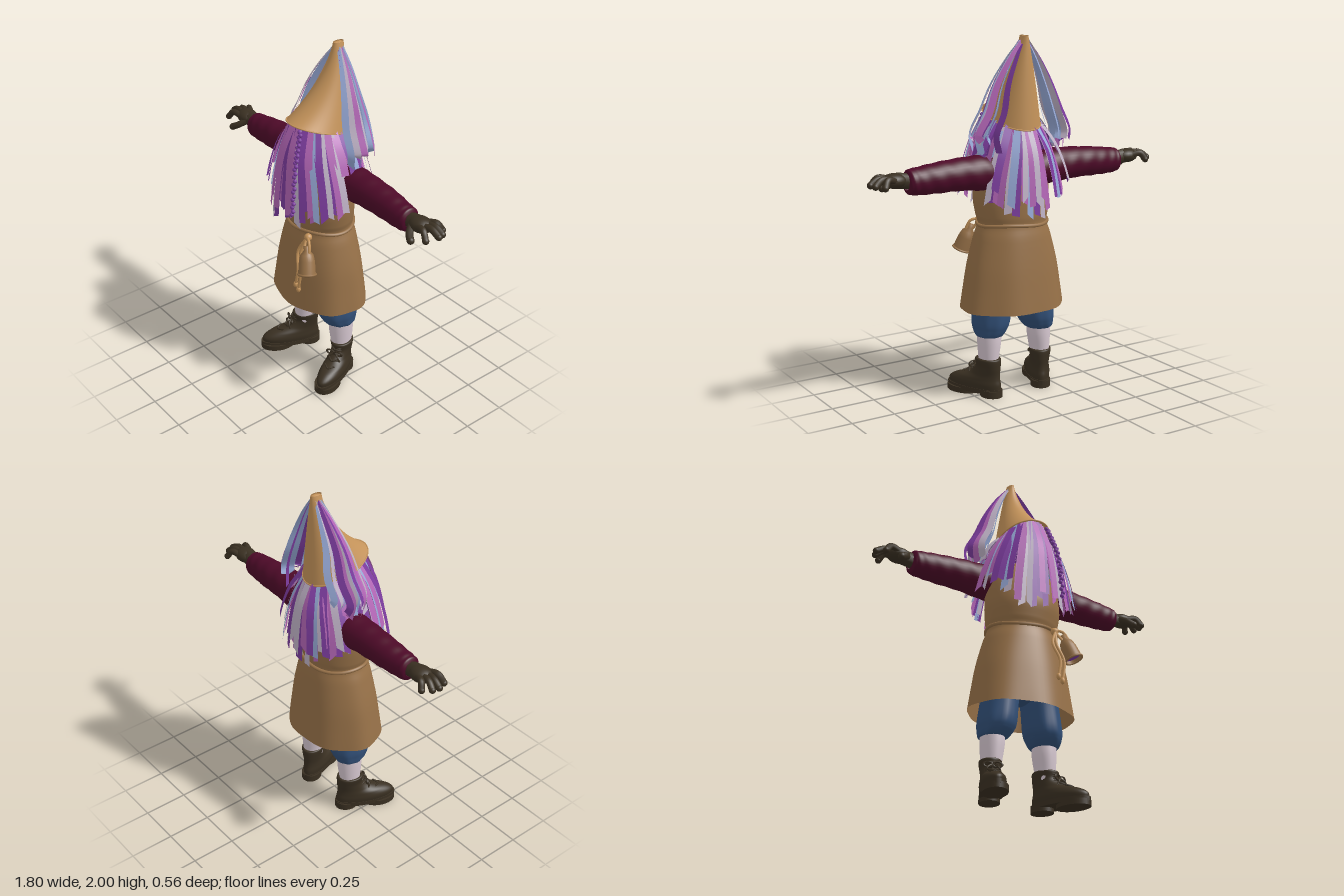
import * as THREE from 'three';
import { mergeGeometries } from 'three/addons/utils/BufferGeometryUtils.js';
import { ParametricGeometry } from 'three/addons/geometries/ParametricGeometry.js';

const mat = (name, color) => {
  const m = new THREE.MeshStandardMaterial({ color, side: THREE.DoubleSide });
  m.name = name;
  return m;
};
const V = (x, y, z) => new THREE.Vector3(x, y, z);

export function createModel() {
  const model = new THREE.Group();
  const M = {
    hat: mat('straw tan', 0xc4935a), tunic: mat('tunic brown', 0x977148),
    sleeve: mat('maroon', 0x4d0a28), dark: mat('dark leather', 0x3a3022),
    blue: mat('denim blue', 0x325078), sock: mat('pale sock', 0xd8c9d2),
    purple: mat('purple', 0x7c3c9e), orchid: mat('orchid', 0xb366b6),
    lilac: mat('grey lilac', 0xbfb2c6), sky: mat('light blue', 0x97a9d6),
  };
  let seed = 7;
  const rnd = () => (seed = (seed * 16807) % 2147483647) / 2147483647;

  const add = (parent, name, geo, material, pos = [0, 0, 0], scale = [1, 1, 1]) => {
    const m = new THREE.Mesh(geo, material);
    m.name = name;
    m.position.set(...pos);
    m.scale.set(...scale);
    parent.add(m);
    return m;
  };
  const tube = (pts, r, closed = false, n = 20) =>
    new THREE.TubeGeometry(new THREE.CatmullRomCurve3(pts, closed), n, r, 8, closed);
  const ball = (r) => new THREE.SphereGeometry(r, 20, 14);

  // Smooth loft through ellipse rows [y, cx, cz, rx, rz], listed upward
  const catmull = (a, b, c, d, t) =>
    0.5 * (2 * b + (c - a) * t + (2 * a - 5 * b + 4 * c - d) * t * t + (3 * b - a - 3 * c + d) * t * t * t);
  const loft = (rows, ripple = () => 1, slices = 48, stacks = 40) =>
    new ParametricGeometry((u, v, out) => {
      const n = rows.length - 1, f = Math.min(Math.max(v, 0), 1) * n;
      const i = Math.min(Math.floor(f), n - 1);
      const row = (k) => rows[Math.min(Math.max(k, 0), n)];
      const [y, cx, cz, rx, rz] = rows[0].map((_, c) =>
        catmull(row(i - 1)[c], row(i)[c], row(i + 1)[c], row(i + 2)[c], f - i));
      const a = u * Math.PI * 2, k = ripple(a, v);
      out.set(cx + rx * k * Math.sin(a), y, cz + rz * k * Math.cos(a));
    }, slices, stacks);

  // Flat strip along a curve, facing outward, with a slanted cut end
  const ribbon = (pts, width, outward, topScale = 1, n = 12) => {
    const curve = new THREE.CatmullRomCurve3(pts), pos = [], idx = [];
    const slant = (rnd() - 0.5) * 0.04;
    for (let i = 0; i <= n; i++) {
      const t = i / n, p = curve.getPoint(t), tan = curve.getTangent(t);
      const w = width * 0.5 * (topScale + (1 - topScale) * Math.min(1, t * 2));
      const side = tan.clone().cross(outward).normalize().multiplyScalar(w);
      for (const s of [-1, 1]) {
        const q = p.clone().addScaledVector(side, s);
        if (i === n) q.addScaledVector(tan, s * slant);
        pos.push(q.x, q.y, q.z);
      }
      if (i < n) idx.push(2 * i, 2 * i + 2, 2 * i + 1, 2 * i + 1, 2 * i + 2, 2 * i + 3);
    }
    const g = new THREE.BufferGeometry();
    g.setAttribute('position', new THREE.Float32BufferAttribute(pos, 3));
    g.setIndex(idx);
    g.computeVertexNormals();
    return g;
  };

  // Tunic with soft folds toward the hem
  add(model, 'tunic', loft([
    [0.5, 0, 0, 0.306, 0.234], [0.6, 0, 0, 0.291, 0.223], [0.75, 0, 0, 0.266, 0.205],
    [0.9, 0, 0, 0.226, 0.182], [0.975, 0, 0, 0.2, 0.166], [1.03, 0, 0.005, 0.21, 0.175],
    [1.13, 0, 0.012, 0.22, 0.182], [1.28, 0, 0, 0.205, 0.165], [1.37, 0, -0.02, 0.15, 0.125],
    [1.44, 0, -0.02, 0.05, 0.05]],
  (a, v) => 1 + 0.018 * Math.sin(7 * a + 1) * Math.max(0, 1 - v * 2), 72), M.tunic);
  const ellipse = (y, rx, rz) => Array.from({ length: 24 }, (_, i) => {
    const a = i / 24 * Math.PI * 2;
    return V(rx * Math.sin(a), y + 0.006 * Math.sin(3 * a), rz * Math.cos(a));
  });
  add(model, 'belt', tube(ellipse(0.978, 0.203, 0.17), 0.01, true, 72), M.tunic);

  // Knot, cords and pouch on the belt
  add(model, 'beltKnot', ball(0.022), M.hat, [0.11, 0.965, 0.17]);
  for (const [x, y] of [[0.085, 0.67], [0.11, 0.65]]) {
    add(model, 'cord', tube([V(0.11, 0.965, 0.18), V(x - 0.015, 0.87, 0.21), V(x + 0.015, 0.77, 0.235), V(x, y, 0.24)], 0.008), M.hat);
    add(model, 'cordEnd', ball(0.013), M.hat, [x, y, 0.24], [1, 1.5, 1]);
  }
  add(model, 'cordLoop', tube([V(0.11, 0.965, 0.18), V(0.15, 0.96, 0.195), V(0.17, 0.9, 0.215), V(0.135, 0.9, 0.215)], 0.008, true, 30), M.hat);
  const pouch = new THREE.Group();
  pouch.name = 'pouch';
  pouch.position.set(0.165, 0.86, 0.222);
  pouch.rotation.set(-0.25, 0, 0.3);
  model.add(pouch);
  const profile = [[0.05, -0.075], [0.048, -0.06], [0.044, 0], [0.036, 0.035], [0.016, 0.06], [0.02, 0.08], [0.001, 0.085]];
  add(pouch, 'pouchBag', new THREE.LatheGeometry(profile.map((p) => new THREE.Vector2(...p)), 24), M.tunic);
  add(pouch, 'pouchRim', new THREE.TorusGeometry(0.049, 0.006, 8, 28).rotateX(Math.PI / 2), M.tunic, [0, -0.073, 0]);
  add(pouch, 'pouchLining', new THREE.CircleGeometry(0.045, 24).rotateX(Math.PI / 2), M.purple, [0, -0.055, 0]);

  // Arms and legs, mirrored
  for (const s of [1, -1]) {
    const half = new THREE.Group();
    half.name = s > 0 ? 'leftLimbs' : 'rightLimbs';
    half.scale.x = s;
    model.add(half);

    // Sleeve runs along x once turned
    const sleeve = add(half, 'sleeve', loft([
      [0.1, -1.26, -0.05, 0.09, 0.09], [0.22, -1.275, -0.055, 0.096, 0.095], [0.36, -1.28, -0.055, 0.088, 0.088],
      [0.5, -1.275, -0.055, 0.082, 0.08], [0.61, -1.268, -0.05, 0.074, 0.07], [0.665, -1.267, -0.05, 0.066, 0.062],
      [0.68, -1.267, -0.05, 0.04, 0.04]],
    (a, v) => 1 + 0.016 * Math.sin(v * 50 + Math.sin(a) * 3), 32, 90), M.sleeve);
    sleeve.rotation.z = -Math.PI / 2;

    // Gloved hand
    add(half, 'wrist', tube([V(0.64, 1.27, -0.05), V(0.74, 1.283, -0.05)], 0.042), M.dark);
    add(half, 'palm', ball(1), M.dark, [0.75, 1.283, -0.05], [0.07, 0.04, 0.056]);
    const fingers = [[0.85, 1.262, -0.122], [0.888, 1.268, -0.085], [0.9, 1.272, -0.05], [0.87, 1.258, 0.01]];
    fingers.forEach(([x, y, z], i) => {
      const base = V(0.76, 1.288, -0.086 + i * 0.024);
      add(half, 'finger', tube([base, V((x + 0.77) / 2, 1.297, (z + base.z) / 2), V(x - 0.016, y, z)], 0.018), M.dark);
      add(half, 'fingertip', ball(0.018), M.dark, [x - 0.016, y, z]);
    });
    add(half, 'thumb', tube([V(0.715, 1.275, -0.02), V(0.745, 1.25, 0.02), V(0.775, 1.232, 0.038)], 0.02), M.dark);
    add(half, 'thumbTip', ball(0.02), M.dark, [0.775, 1.232, 0.038]);

    // Breeches leg and sock
    add(half, 'breechesLeg', loft([
      [0.35, 0.163, -0.02, 0.06, 0.065], [0.355, 0.163, -0.02, 0.076, 0.083], [0.39, 0.153, -0.012, 0.092, 0.108],
      [0.44, 0.144, -0.01, 0.103, 0.12], [0.56, 0.13, -0.01, 0.1, 0.118], [0.72, 0.11, -0.01, 0.1, 0.115]],
    (a, v) => 1 + 0.03 * Math.sin(9 * a) * (1 - v)), M.blue);
    add(half, 'sock', loft([
      [0.16, 0.17, -0.022, 0.048, 0.056], [0.23, 0.169, -0.022, 0.055, 0.066],
      [0.31, 0.165, -0.022, 0.064, 0.073], [0.38, 0.165, -0.022, 0.066, 0.074]]), M.sock);

    // Laced boot, toe turned out
    const boot = new THREE.Group();
    boot.name = 'boot';
    boot.position.set(0.173, 0, -0.026);
    boot.rotation.y = 0.4;
    half.add(boot);
    const slab = new THREE.CylinderGeometry(1, 1, 1, 36);
    add(boot, 'sole', slab, M.dark, [0, 0.034, 0.095], [0.066, 0.026, 0.182]);
    add(boot, 'frontTread', slab, M.dark, [0, 0.016, 0.175], [0.068, 0.032, 0.1]);
    add(boot, 'heel', slab, M.dark, [0, 0.02, -0.02], [0.056, 0.04, 0.066]);
    add(boot, 'bootUpper', loft([
      [0.035, 0, 0.092, 0.062, 0.172], [0.07, 0, 0.092, 0.067, 0.172], [0.1, 0, 0.072, 0.062, 0.146],
      [0.13, 0, 0.028, 0.054, 0.1], [0.17, 0, 0.002, 0.055, 0.077], [0.215, 0, 0.002, 0.062, 0.077],
      [0.222, 0, 0.002, 0.05, 0.062]]), M.dark);
    for (const [y, z] of [[0.115, 0.165], [0.138, 0.118], [0.165, 0.085], [0.192, 0.08]])
      for (const d of [-1, 1])
        add(boot, 'lace', tube([V(-0.03, y - 0.008 * d, z - 0.015), V(0, y, z + 0.008), V(0.03, y + 0.008 * d, z - 0.015)], 0.005, false, 8), M.dark);
    for (const d of [-1, 1]) {
      add(boot, 'laceBow', new THREE.TorusGeometry(0.018, 0.005, 6, 18), M.dark, [d * 0.025, 0.175, 0.095], [1.3, 0.8, 1]);
      add(boot, 'laceEnd', tube([V(0, 0.18, 0.09), V(d * 0.03, 0.155, 0.11), V(d * 0.04, 0.13, 0.105)], 0.005, false, 8), M.dark);
    }
  }
  add(model, 'breechesSeat', ball(1), M.blue, [0, 0.7, -0.01], [0.2, 0.13, 0.14]);
  add(model, 'hiddenHead', ball(1), M.purple, [0, 1.45, 0], [0.125, 0.2, 0.13]);

  // Pointed hat: straight back, concave front, brim tilted down behind
  const hatPoint = (a, t) => {
    const front = -0.085 + 0.28 * Math.pow(t, 1.5), back = -0.15 - 0.03 * t;
    const z = (front + back) / 2 + (front - back) / 2 * Math.cos(a);
    const brimY = 1.5 + (z + 0.18) / 0.375 * 0.115;
    return V((0.017 + 0.128 * t) * Math.sin(a), 2 - t * (2 - brimY), z);
  };
  add(model, 'hat', new ParametricGeometry((u, v, out) => out.copy(hatPoint(u * Math.PI * 2, 1 - v)), 48, 30), M.hat);
  add(model, 'hatTip', ball(1), M.hat, [0, 1.99, -0.118], [0.017, 0.01, 0.033]);
  const brim = Array.from({ length: 32 }, (_, i) => hatPoint(i / 16 * Math.PI, 1));
  add(model, 'hatBrim', tube(brim, 0.004, true, 80), M.hat);

  // Ribbon fringe under the brim: two layers, shorter over the arms
  const bins = { purple: [], orchid: [], lilac: [], sky: [] };
  const order = ['purple', 'orchid', 'lilac', 'purple', 'orchid', 'sky', 'purple', 'lilac', 'orchid', 'lilac', 'orchid', 'purple', 'sky'];
  for (const [count, k] of [[44, 1], [38, 0.9]]) {
    for (let i = 0; i < count; i++) {
      const a = (i + rnd() * 0.6) / count * Math.PI * 2, sx = Math.sin(a), cz = Math.cos(a);
      const overArm = cz > -0.5 && cz < 0.12;
      const end = overArm ? 1.33 + rnd() * 0.06 : 1.02 + 0.14 * sx * sx + rnd() * 0.12;
      const out = k * (0.94 + rnd() * 0.12), wide = overArm ? 0.25 : 0.315, top = hatPoint(a, 0.95);
      const mid = (y, fx, fz) => V(sx * fx * out, y, cz * fz * out);
      const twist = (rnd() - 0.5) * 0.5;
      bins[order[i % order.length]].push(ribbon([
        V(sx * 0.125 * k, top.y, top.z * 0.92 * k),
        mid(top.y * 0.65 + end * 0.35, 0.13 + (wide - 0.13) * 0.45, 0.225),
        mid(top.y * 0.3 + end * 0.7, 0.13 + (wide - 0.13) * 0.8, 0.25),
        mid(end, wide, 0.262)], 0.032 + rnd() * 0.012, V(Math.sin(a + twist), 0, Math.cos(a + twist))));
    }
  }
  // Long ribbons from the hat tip: inner ones hug the hat, outer ones arch away
  const tipColours = ['sky', 'lilac', 'purple', 'sky', 'orchid'];
  for (const s of [-1, 1]) {
    for (let i = 0; i < 12; i++) {
      const b = 0.7 + 0.36 * ((i * 5) % 12) / 11, z = -0.17 + i * 0.015, turn = (i % 2 ? 1 : -1) * (0.4 + rnd() * 0.5);
      bins[tipColours[(i + (s > 0 ? 2 : 0)) % 5]].push(ribbon([
        V(s * 0.01, 1.985, -0.13 + i * 0.002), V(s * 0.09 * b, 1.88, -0.12 + (z + 0.12) * 0.4),
        V(s * 0.17 * b, 1.74, -0.1 + (z + 0.1) * 0.7), V(s * 0.225 * b, 1.6, z),
        V(s * 0.285 * b, 1.48, z + 0.01), V(s * 0.27 * b, 1.37 + rnd() * 0.11, z)],
      0.038, V(s * Math.cos(turn), 0.2, Math.sin(turn)), 0.4, 18));
    }
  }
  for (const [name, list] of Object.entries(bins))
    add(model, name + 'Ribbons', mergeGeometries(list), M[name]);

  // Beaded braid in the front fringe
  const braidPath = new THREE.CatmullRomCurve3([V(0.06, 1.59, 0.18), V(0.09, 1.42, 0.235), V(0.1, 1.14, 0.268)]);
  const beads = Array.from({ length: 27 }, (_, i) => {
    const p = braidPath.getPoint(i / 26);
    return new THREE.SphereGeometry(0.012, 8, 6).translate(p.x + (i % 2 ? 0.005 : -0.005), p.y, p.z);
  });
  add(model, 'braid', mergeGeometries(beads), M.purple);
  return model;
}
